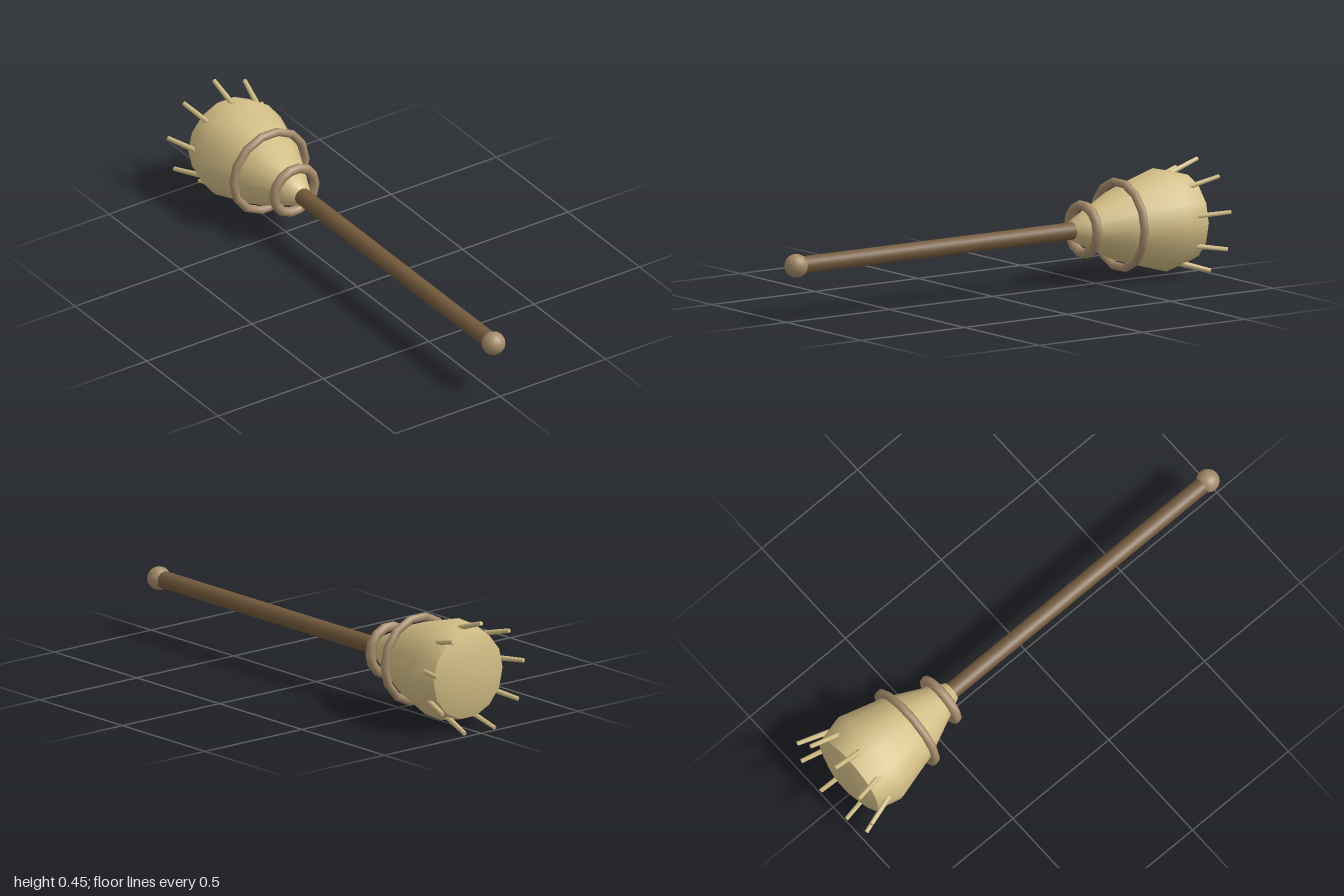
import * as THREE from 'three';

export function createModel() {
  const wood = new THREE.MeshStandardMaterial({ color: 0x735a3c });
  wood.name = 'dark wood';
  const binding = new THREE.MeshStandardMaterial({ color: 0xa58b6b });
  binding.name = 'tan binding';
  const straw = new THREE.MeshStandardMaterial({ color: 0xd2bd85 });
  straw.name = 'straw';

  // The broom lies along z, its axis raised so the lowest straws touch the ground
  const broom = new THREE.Group();
  broom.name = 'broom';
  broom.position.y = 0.228;

  const add = (name, geometry, material, z = 0) => {
    const mesh = new THREE.Mesh(geometry, material);
    mesh.name = name;
    mesh.position.z = z;
    broom.add(mesh);
    return mesh;
  };

  // Handle and rounded end knob
  add('handle', new THREE.CylinderGeometry(0.035, 0.035, 1.35, 12).rotateX(Math.PI / 2), wood, 0.275);
  add('handleKnob', new THREE.SphereGeometry(0.047, 16, 12), binding, 0.953);

  // Lathe helper: profile of [radius, distance towards the back]
  const lathe = (profile) => new THREE.LatheGeometry(
    profile.map(([r, d]) => new THREE.Vector2(r, -d)), 14)
    .rotateX(Math.PI / 2).rotateZ(Math.PI / 2);

  // Bundled bristle head, listed back to front so faces point outwards
  add('bristleHead', lathe([
    [0.178, 0.92], [0.205, 0.81], [0.15, 0.615], [0.075, 0.455], [0.04, 0.385], [0, 0.385],
  ].map(([r, d]) => [r, d])), straw).scale.z = 1;
  add('bristleEnd', lathe([[0, 0.95], [0.1, 0.947], [0.178, 0.92]]), straw);

  // Binding rings
  add('frontBinding', new THREE.TorusGeometry(0.096, 0.02, 8, 14), binding, -0.44);
  add('rearBinding', new THREE.TorusGeometry(0.171, 0.017, 8, 14), binding, -0.615);

  // Loose straws splayed around the end
  const up = new THREE.Vector3(0, 1, 0);
  for (let i = 0; i < 9; i++) {
    const a = THREE.MathUtils.degToRad(11 + i * 40);
    const at = (r, z) => new THREE.Vector3(Math.cos(a) * r, Math.sin(a) * r, z);
    const start = at(0.181, -0.865);
    const end = at(0.225, -0.996);
    const dir = end.clone().sub(start);
    const mesh = add('looseStraw', new THREE.CylinderGeometry(0.009, 0.011, dir.length(), 6), straw);
    mesh.position.copy(start).add(end).multiplyScalar(0.5);
    mesh.quaternion.setFromUnitVectors(up, dir.normalize());
  }

  const model = new THREE.Group();
  model.name = 'broomModel';
  model.add(broom);
  return model;
}
